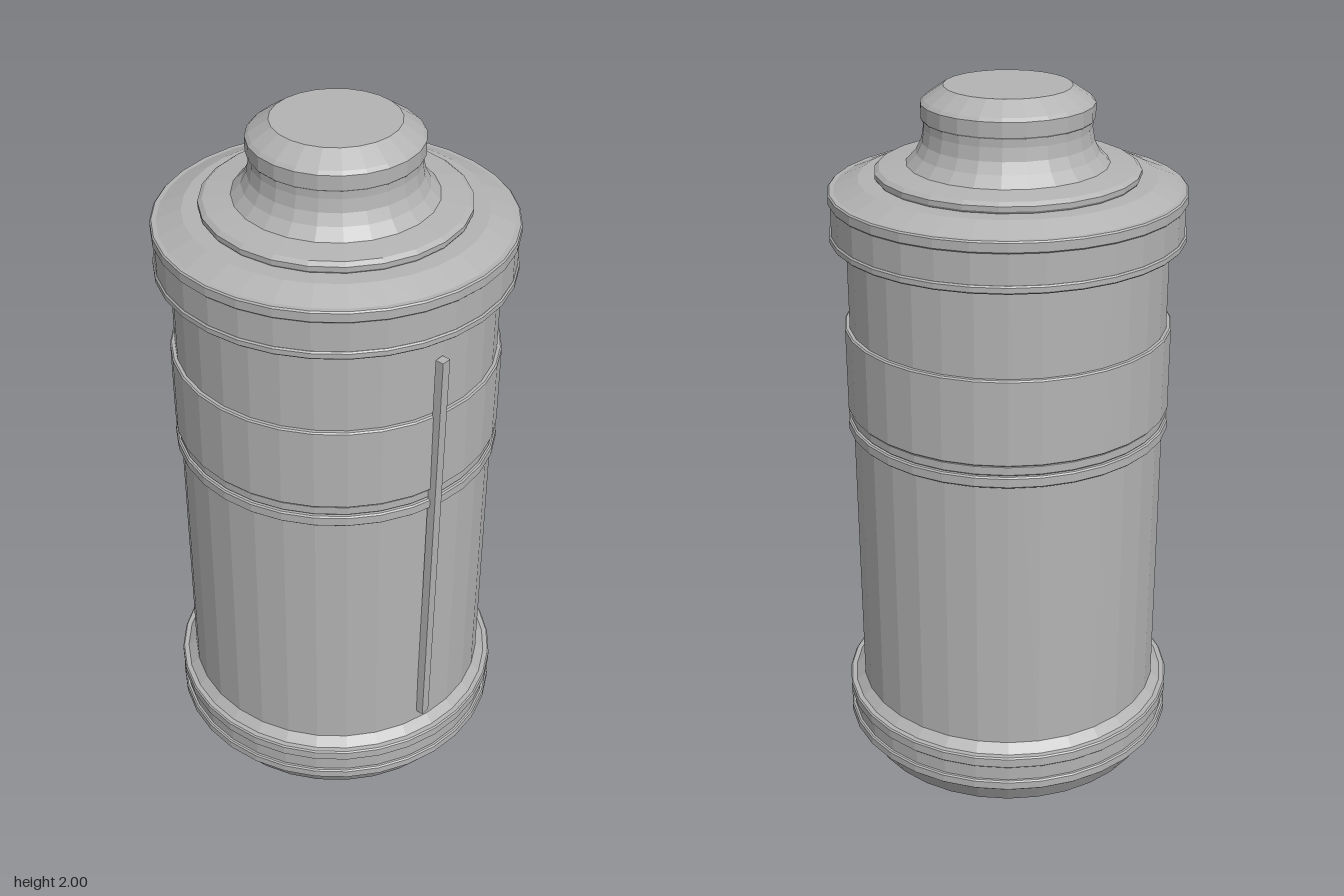
import * as THREE from 'three';

export function createModel() {
  const model = new THREE.Group();
  model.name = 'canister';
  const grey = new THREE.MeshStandardMaterial({ color: 0xb3b3b3, flatShading: true });
  grey.name = 'grey metal';

  // Turned part: profile of [radius, height] pairs from bottom to top
  function turned(name, segments, profile) {
    const points = profile.map(([r, y]) => new THREE.Vector2(r, y));
    const mesh = new THREE.Mesh(new THREE.LatheGeometry(points, segments), grey);
    mesh.name = name;
    model.add(mesh);
  }

  // Closed ring with small bevels, rooted inside the body
  function ring(name, radius, y0, y1, inner = 0.42) {
    const b = 0.004;
    turned(name, 32, [
      [inner, y0], [radius - b, y0], [radius, y0 + b],
      [radius, y1 - b], [radius - b, y1], [inner, y1],
    ]);
  }

  // Foot with chamfered underside
  turned('base', 32, [
    [0, 0], [0.345, 0], [0.43, 0.03], [0.472, 0.1], [0.474, 0.19], [0.465, 0.21], [0.438, 0.236],
  ]);
  ring('lowerBaseRing', 0.483, 0.1, 0.13);
  ring('upperBaseRing', 0.483, 0.176, 0.21);

  // Main barrel and its raised bands
  turned('barrel', 32, [[0.44, 0.22], [0.44, 1.61]]);
  ring('bandRing', 0.454, 1.048, 1.08);
  ring('bandGroove', 0.446, 1.08, 1.11);
  ring('wideBand', 0.453, 1.11, 1.352);

  // Upper collar and sloping shoulder
  turned('collar', 32, [[0.42, 1.6], [0.478, 1.6], [0.478, 1.725], [0.4, 1.758], [0.3, 1.76]]);
  ring('lowerCollarRing', 0.483, 1.594, 1.616);
  ring('upperCollarRing', 0.483, 1.698, 1.73);

  // Stepped neck flaring up into the cap
  turned('neck', 24, [
    [0.35, 1.755], [0.357, 1.765], [0.357, 1.778], [0.345, 1.787], [0.272, 1.796],
    [0.245, 1.825], [0.23, 1.855], [0.224, 1.89], [0.224, 1.92],
  ]);
  turned('cap', 24, [
    [0.215, 1.912], [0.227, 1.912], [0.231, 1.917], [0.231, 1.956],
    [0.222, 1.965], [0.17, 2], [0, 2],
  ]);

  // Slim, slightly leaning rod on the left side
  const rod = new THREE.Mesh(new THREE.BoxGeometry(0.024, 1.257, 0.028), grey);
  rod.name = 'sideRod';
  rod.position.set(0.438, 0.894, 0.107);
  rod.rotation.z = -0.011;
  model.add(rod);

  return model;
}
